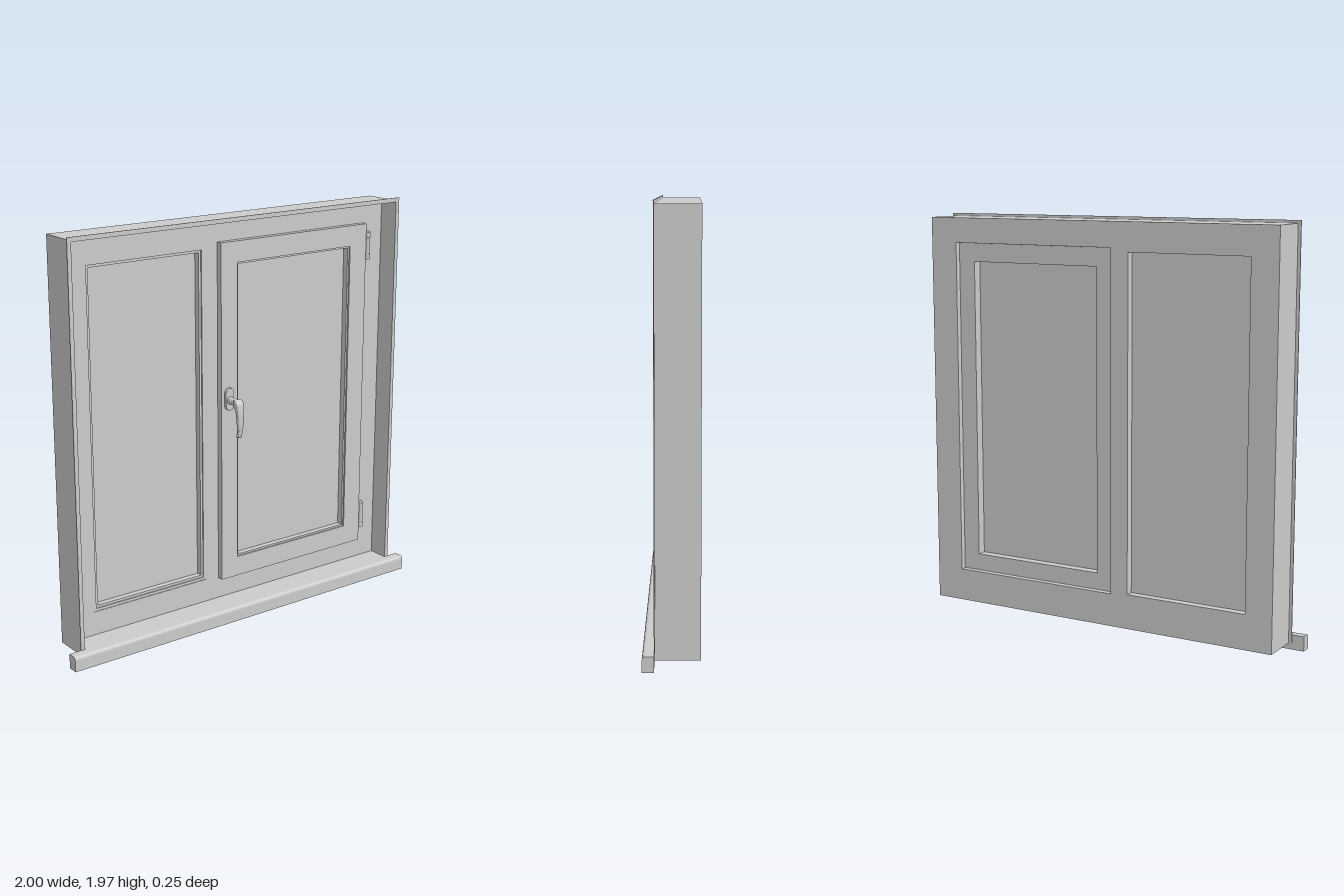
import * as THREE from 'three';

const material = new THREE.MeshStandardMaterial({ color: 0xcccccc });

function add(parent, name, geometry, x = 0, y = 0, z = 0) {
  const mesh = new THREE.Mesh(geometry, material);
  mesh.name = name;
  mesh.position.set(x, y, z);
  parent.add(mesh);
  return mesh;
}

// Rectangle path given as [x0, y0, x1, y1]
function rect(Type, [x0, y0, x1, y1]) {
  const p = new Type();
  p.moveTo(x0, y0);
  p.lineTo(x1, y0);
  p.lineTo(x1, y1);
  p.lineTo(x0, y1);
  p.closePath();
  return p;
}

// Rectangular plate with rectangular openings, from z0 to z1
function plate(outer, holes, z0, z1) {
  const shape = rect(THREE.Shape, outer);
  shape.holes = holes.map((h) => rect(THREE.Path, h));
  return new THREE.ExtrudeGeometry(shape, { depth: z1 - z0, bevelEnabled: false }).translate(0, 0, z0);
}

const inset = ([x0, y0, x1, y1], d) => [x0 + d, y0 + d, x1 - d, y1 - d];

function createHandle() {
  const handle = new THREE.Group();
  handle.name = 'handle';

  // Oval mounting plate
  const r = 0.024;
  const oval = new THREE.Shape();
  oval.absarc(0, 1.126, r, 0, Math.PI);
  oval.absarc(0, 1.064, r, Math.PI, Math.PI * 2);
  add(handle, 'handlePlate', new THREE.ExtrudeGeometry(oval, {
    depth: 0.012, bevelThickness: 0.003, bevelSize: 0.002, bevelOffset: -0.002, bevelSegments: 2, curveSegments: 12,
  }));

  // Neck joining the plate and the grip
  add(handle, 'handleNeck', new THREE.CylinderGeometry(0.016, 0.019, 0.075, 20).rotateX(Math.PI / 2), 0, 1.09, 0.045);

  // Grip: side outline (z, y), extruded across x and narrowed downwards
  const side = new THREE.Shape();
  side.moveTo(0.06, 1.105);
  side.quadraticCurveTo(0.093, 1.115, 0.099, 1.08);
  side.quadraticCurveTo(0.109, 1.0, 0.093, 0.93);
  side.quadraticCurveTo(0.089, 0.918, 0.077, 0.922);
  side.quadraticCurveTo(0.09, 0.99, 0.077, 1.06);
  side.lineTo(0.06, 1.07);
  side.closePath();
  const grip = new THREE.ExtrudeGeometry(side, {
    depth: 0.03, bevelThickness: 0.006, bevelSize: 0.005, bevelOffset: -0.005, bevelSegments: 3, curveSegments: 10,
  });
  grip.translate(0, 0, -0.015).rotateY(-Math.PI / 2).scale(1, 1, 1);
  const pos = grip.attributes.position;
  for (let i = 0; i < pos.count; i++) {
    const t = THREE.MathUtils.clamp((pos.getY(i) - 0.92) / 0.19, 0, 1);
    pos.setX(i, pos.getX(i) * (0.55 + 0.5 * t));
  }
  grip.computeVertexNormals();
  add(handle, 'handleGrip', grip);

  handle.position.x = -0.048;
  return handle;
}

function createHinge(y, name) {
  const hinge = new THREE.Group();
  hinge.name = name;
  add(hinge, 'hingeLeaf', new THREE.BoxGeometry(0.03, 0.135, 0.02), 0.812, 0, -0.022);
  add(hinge, 'hingeBarrel', new THREE.CylinderGeometry(0.013, 0.013, 0.08, 16), 0.812, 0, -0.006);
  for (const s of [-1, 1]) {
    add(hinge, 'hingeCap', new THREE.CylinderGeometry(0.0145, 0.0145, 0.027, 16), 0.812, s * 0.054, -0.006);
  }
  hinge.position.y = y;
  return hinge;
}

export function createModel() {
  const model = new THREE.Group();
  model.name = 'window';

  const body = [-0.925, 0.03, 0.925, 1.957];
  const recess = [-0.92, 0.07, 0.92, 1.95];
  const fixedOpening = [-0.79, 0.2, -0.178, 1.818];
  const sashOpening = [-0.086, 0.19, 0.782, 1.836];
  const sashOuter = [-0.09, 0.175, 0.795, 1.846];
  const sashPane = [0.003, 0.275, 0.692, 1.745];

  // Lining around the recess, its trim, and the fixed frame flush with the back
  add(model, 'lining', plate(body, [recess], -0.03, 0.075));
  add(model, 'frontTrim', plate([-0.94, 0.03, 0.94, 1.971], [recess], 0.071, 0.0755));
  add(model, 'fixedFrame', plate(body, [fixedOpening, sashOpening], -0.125, -0.03));

  // Fixed light: glazing bead, glass and drip strip
  add(model, 'fixedBead', plate(fixedOpening, [inset(fixedOpening, 0.012)], -0.066, -0.036));
  add(model, 'fixedGlass', plate(fixedOpening, [], -0.085, -0.066));
  add(model, 'dripStrip', new THREE.BoxGeometry(0.64, 0.006, 0.004), -0.482, 0.184, -0.029);

  // Opening sash: front overlap, rear part, bead and glass
  const sash = new THREE.Group();
  sash.name = 'sash';
  model.add(sash);
  add(sash, 'sashFront', plate(sashOuter, [sashPane], -0.029, 0.002));
  add(sash, 'sashRear', plate(inset(sashOpening, 0.002), [sashPane], -0.1, -0.029));
  add(sash, 'sashBead', plate(sashPane, [inset(sashPane, 0.009)], -0.036, -0.006));
  add(sash, 'sashGlass', plate(sashPane, [], -0.055, -0.036));
  sash.add(createHandle());

  model.add(createHinge(1.735, 'upperHinge'), createHinge(0.312, 'lowerHinge'));

  // Sill board with a rounded front top edge, profile drawn as (-z, y)
  const sill = new THREE.Shape();
  sill.moveTo(-0.125, 0);
  sill.lineTo(-0.074, 0);
  sill.lineTo(-0.074, 0.071);
  sill.lineTo(-0.107, 0.071);
  sill.quadraticCurveTo(-0.125, 0.071, -0.125, 0.053);
  sill.closePath();
  const sillGeometry = new THREE.ExtrudeGeometry(sill, { depth: 2, bevelEnabled: false, curveSegments: 8 });
  add(model, 'sill', sillGeometry.translate(0, 0, -1).rotateY(Math.PI / 2));

  return model;
}
